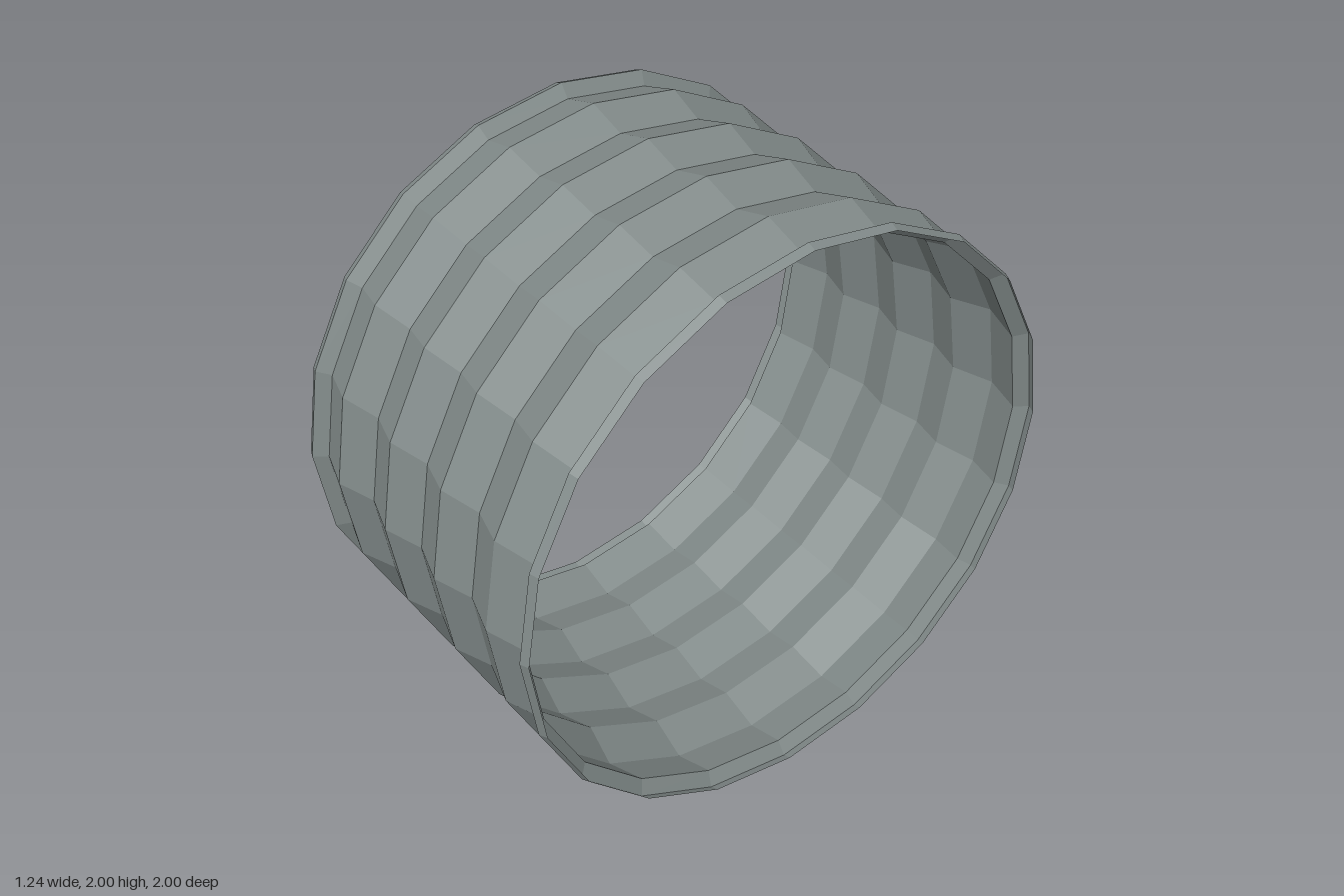
import * as THREE from 'three';

const SIDES = 20;
const PEAK = 1.0;    // radius at the ridges
const VALLEY = 0.957; // radius at the grooves

export function createModel() {
  const group = new THREE.Group();
  group.name = 'corrugatedPipe';

  const steel = new THREE.MeshStandardMaterial({ color: 0x828b8a, side: THREE.DoubleSide, flatShading: true });
  steel.name = 'greySteel';

  // Thin shell turned around the x axis from [x, radius] points
  function addShell(name, points) {
    const profile = points.map(([x, r]) => new THREE.Vector2(r, x));
    const geometry = new THREE.LatheGeometry(profile, SIDES);
    geometry.rotateZ(-Math.PI / 2);
    const mesh = new THREE.Mesh(geometry, steel);
    mesh.name = name;
    mesh.position.y = PEAK;
    group.add(mesh);
  }

  // Corrugated wall: alternating grooves and ridges
  const wall = [];
  for (let i = -4; i <= 4; i++) wall.push([i * 0.14, i % 2 === 0 ? VALLEY : PEAK]);
  addShell('corrugatedWall', wall);

  // Flared lip on each end
  const lip = [[0.56, VALLEY], [0.592, PEAK], [0.622, 0.988]];
  addShell('leftRim', lip);
  addShell('rightRim', lip.map(([x, r]) => [-x, r]).reverse());

  return group;
}
